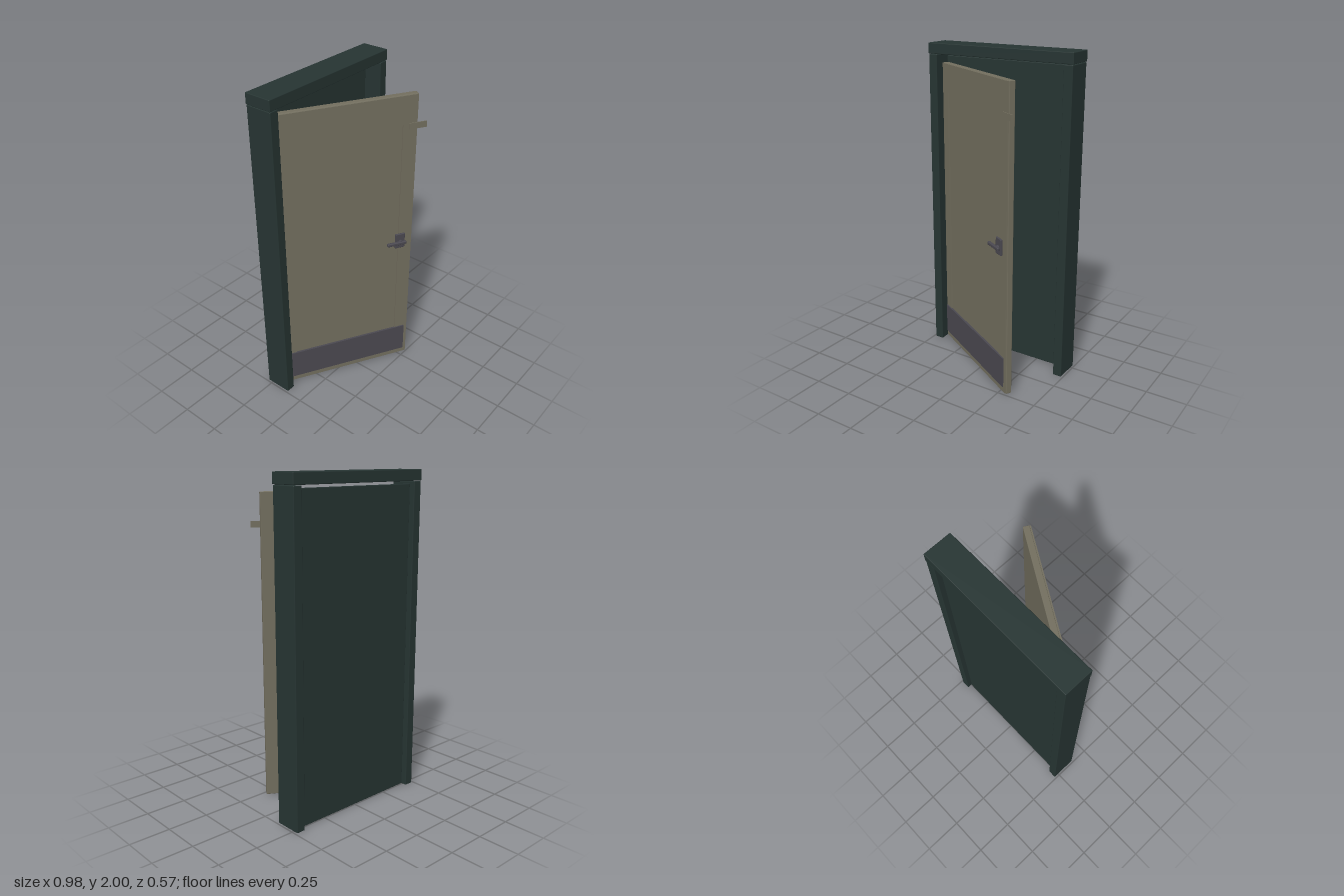
import * as THREE from 'three';
import { RoundedBoxGeometry } from 'three/addons/geometries/RoundedBoxGeometry.js';

const paint = (name, color) => {
  const m = new THREE.MeshStandardMaterial({ color });
  m.name = name;
  return m;
};

export function createModel() {
  const green = paint('dark green', 0x263432);
  const beige = paint('olive beige', 0x726e5e);
  const metal = paint('dark metal', 0x4a4850);

  const model = new THREE.Group();
  model.name = 'doorway';

  // Box given by its min and max on each axis, with softened edges
  const box = (parent, name, mat, [x0, x1], [y0, y1], [z0, z1], r = 0) => {
    const s = [x1 - x0, y1 - y0, z1 - z0];
    const geo = r ? new RoundedBoxGeometry(...s, 2, r) : new THREE.BoxGeometry(...s);
    const mesh = new THREE.Mesh(geo, mat);
    mesh.name = name;
    mesh.position.set((x0 + x1) / 2, (y0 + y1) / 2, (z0 + z1) / 2);
    parent.add(mesh);
    return mesh;
  };

  // Fixed frame: two posts, lintel and back panel
  const frame = new THREE.Group();
  frame.name = 'frame';
  model.add(frame);
  box(frame, 'rightPost', green, [-0.488, -0.431], [0, 1.932], [-0.283, -0.115], 0.004);
  box(frame, 'leftPost', green, [0.431, 0.488], [0, 1.932], [-0.283, -0.115], 0.004);
  box(frame, 'lintel', green, [-0.491, 0.491], [1.935, 2], [-0.285, -0.113], 0.004);
  box(frame, 'backPanel', green, [-0.427, 0.427], [0.004, 1.917], [-0.252, -0.222], 0.003);

  // Door leaf, hinged at its front left edge and swung open by 30 degrees
  const door = new THREE.Group();
  door.name = 'door';
  door.position.set(-0.43, 0, -0.173);
  door.rotation.y = -Math.PI / 6;
  model.add(door);
  const width = 0.845, top = 1.88;
  box(door, 'doorSlab', beige, [0, width], [0.005, top], [-0.043, -0.007], 0.004);

  // Stiles and rails around the sunken field
  const rect = (Type, x0, x1, y0, y1) => {
    const p = new Type();
    p.moveTo(x0, y0);
    p.lineTo(x1, y0);
    p.lineTo(x1, y1);
    p.lineTo(x0, y1);
    p.closePath();
    return p;
  };
  const border = rect(THREE.Shape, 0.003, width - 0.003, 0.008, top - 0.003);
  border.holes.push(rect(THREE.Path, 0.075, 0.755, 0.18, 1.705));
  const rim = new THREE.Mesh(
    new THREE.ExtrudeGeometry(border, { depth: 0.011, bevelEnabled: false }), beige);
  rim.name = 'doorRim';
  rim.position.z = -0.011;
  door.add(rim);

  // Kick plate and the flat latch tab near the top
  box(door, 'kickPlate', metal, [0.014, 0.82], [0.045, 0.24], [-0.005, 0.008]);
  box(door, 'latchTab', beige, [0.79, 0.898], [1.675, 1.712], [0.002, 0.007]);

  // Lever handle
  const handle = new THREE.Group();
  handle.name = 'handle';
  door.add(handle);
  box(handle, 'handlePlate', metal, [0.732, 0.795], [0.885, 0.985], [-0.002, 0.011], 0.004);
  box(handle, 'lever', metal, [0.672, 0.797], [0.92, 0.94], [0.015, 0.034], 0.005);
  const neck = new THREE.Mesh(new THREE.CylinderGeometry(0.014, 0.014, 0.02, 20), metal);
  neck.name = 'handleNeck';
  neck.rotation.x = Math.PI / 2;
  neck.position.set(0.764, 0.93, 0.014);
  handle.add(neck);

  return model;
}
